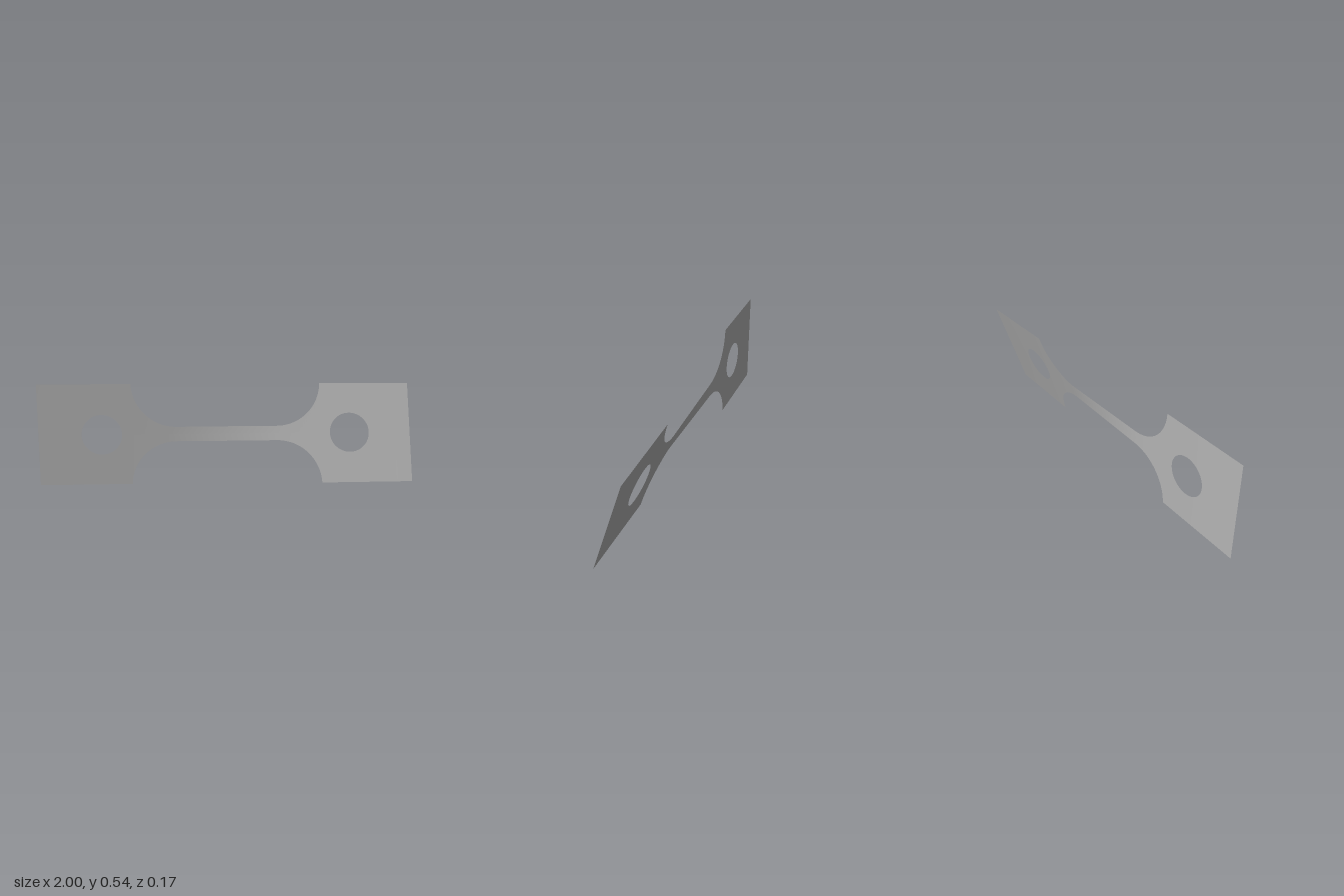
import * as THREE from 'three';

const HALF = 0.271;                                // half height of the grips
const HOLE = { x: 0.667, r: 0.107 };
const FILLET = { x: 0.27, y: 0.279, r: 0.24 };     // centre and radius of the shoulder arcs

// Twist in degrees along x: nearly all of it happens in the thin neck
const TWIST = [[-1, 0], [-0.5, 0.5], [-0.3, 1.3], [0.3, 16], [0.5, 17], [1, 18.1]];

function twistAt(x) {
  let i = 0;
  while (i < TWIST.length - 2 && x > TWIST[i + 1][0]) i++;
  const [x0, a0] = TWIST[i], [x1, a1] = TWIST[i + 1];
  return THREE.MathUtils.degToRad(THREE.MathUtils.mapLinear(x, x0, x1, a0, a1));
}

// Sheet made of an upper and a lower strip; each column is [x, inner, outer]
function twistedSheet(name, columns, material) {
  const pos = [], index = [];
  for (const side of [1, -1]) {
    const base = pos.length / 3;
    columns.forEach(([x, inner, outer], i) => {
      const a = twistAt(x);
      for (const h of [inner * side, outer * side]) {
        pos.push(x, HALF + h * Math.cos(a), -h * Math.sin(a));
      }
      if (i === 0) return;
      const p = base + 2 * (i - 1), q = p + 2;
      if (side > 0) index.push(p, q, q + 1, p, q + 1, p + 1);
      else index.push(p, q + 1, q, p, p + 1, q + 1);
    });
  }
  const geo = new THREE.BufferGeometry();
  geo.setAttribute('position', new THREE.Float32BufferAttribute(pos, 3));
  geo.setIndex(index);
  geo.computeVertexNormals();
  const mesh = new THREE.Mesh(geo, material);
  mesh.name = name;
  return mesh;
}

const mirrored = (columns) => columns.map(([x, a, b]) => [-x, a, b]).reverse();

export function createModel() {
  const steel = new THREE.MeshStandardMaterial({ color: 0xb4b4b4, side: THREE.DoubleSide });
  steel.name = 'grey steel';

  // Square grip with a round pin hole
  const grip = [[0.51, 0, HALF]];
  const steps = 32;
  for (let i = 0; i <= steps; i++) {
    const a = Math.PI * i / steps;
    grip.push([HOLE.x - HOLE.r * Math.cos(a), HOLE.r * Math.sin(a), HALF]);
  }
  for (const x of [0.85, 0.925, 1]) grip.push([x, 0, HALF]);

  // Concave shoulder running from the neck up to the grip
  const shoulder = [];
  const end = Math.acos((FILLET.y - HALF) / FILLET.r);
  for (let i = 0; i <= 24; i++) {
    const a = end * i / 24;
    shoulder.push([
      i === 24 ? 0.51 : FILLET.x + FILLET.r * Math.sin(a), 0,
      FILLET.y - FILLET.r * Math.cos(a),
    ]);
  }

  // Thin straight neck between the shoulders
  const neck = [];
  for (let i = 1; i < 20; i++) {
    neck.push([FILLET.x * (i / 10 - 1), 0, FILLET.y - FILLET.r]);
  }

  const group = new THREE.Group();
  group.name = 'twistedTestStrip';
  group.add(
    twistedSheet('leftGrip', grip, steel),
    twistedSheet('rightGrip', mirrored(grip), steel),
    twistedSheet('neck', [...mirrored(shoulder), ...neck, ...shoulder], steel),
  );
  return group;
}
